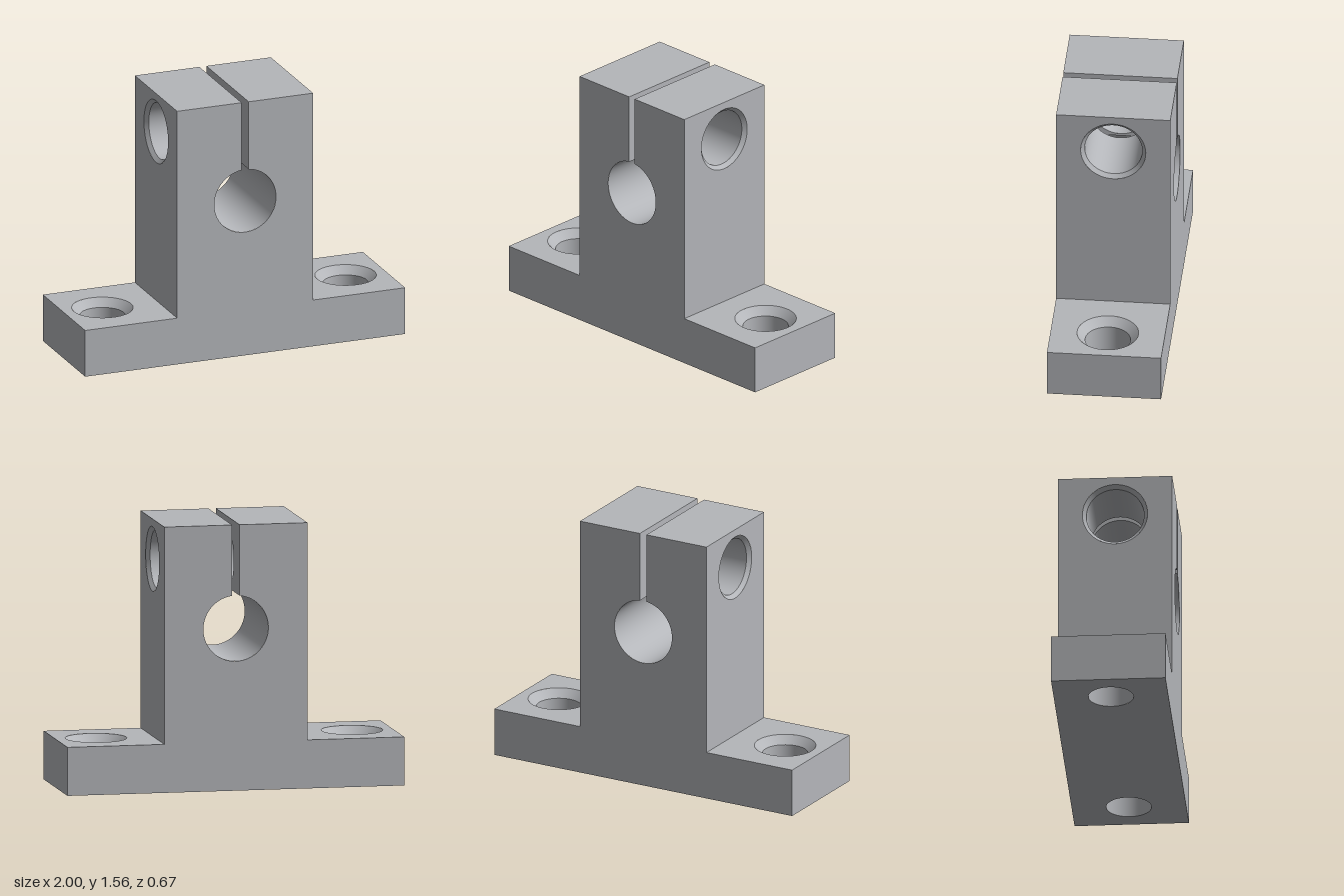
import * as THREE from 'three';

// Main dimensions
const L = 1, D = 0.333;              // half length and half depth of the base
const H = 0.285, T = 1.561;          // top of the base, top of the clamp block
const W = 0.425, S = 0.022;          // half width of the block and of the slot
const BORE = { y: 0.953, r: 0.193 }; // shaft bore, along z
const BOLT = { x: 0.76, r: 0.132, rim: 0.179 };    // base holes, along y
const SCREW = { y: 1.326, r: 0.168, rim: 0.19 };   // clamp hole, along x
const SEG = 64;
const gap = Math.asin(S / BORE.r);
const slotFloor = BORE.y + BORE.r * Math.cos(gap);

export function createModel() {
  const model = new THREE.Group();
  model.name = 'shaftSupport';
  const metal = new THREE.MeshStandardMaterial({ color: 0xb4b6ba });
  metal.name = 'grey metal';

  const add = (name, geometry) => {
    const mesh = new THREE.Mesh(geometry, metal);
    mesh.name = name;
    model.add(mesh);
  };

  // Flat rectangle facing +z, with round holes given as [x, y, r]
  const plate = (x0, y0, x1, y1, holes = []) => {
    const shape = new THREE.Shape();
    shape.moveTo(x0, y0).lineTo(x1, y0).lineTo(x1, y1).lineTo(x0, y1).closePath();
    for (const [x, y, r] of holes) {
      shape.holes.push(new THREE.Path().absarc(x, y, r, 0, Math.PI * 2, true));
    }
    return new THREE.ShapeGeometry(shape, SEG);
  };
  const faceUp = (g, y) => g.rotateX(-Math.PI / 2).translate(0, y, 0);
  const faceSide = (g, x, dir) => g.rotateY(dir * Math.PI / 2).translate(x, 0, 0);

  // Inward-facing wall of a hole around y, from radius r0 at y0 down to r1 at y1
  const holeWall = (r0, y0, r1, y1, start = 0, sweep = Math.PI * 2) =>
    new THREE.LatheGeometry(
      [new THREE.Vector2(r0, y0), new THREE.Vector2(r1, y1)], SEG, start, sweep);

  // Front and back: inverted T with a keyhole cut
  const profile = new THREE.Shape();
  profile.moveTo(-L, 0).lineTo(L, 0).lineTo(L, H).lineTo(W, H).lineTo(W, T).lineTo(S, T);
  profile.lineTo(S, slotFloor);
  profile.absarc(0, BORE.y, BORE.r, Math.PI / 2 - gap, Math.PI / 2 + gap, true);
  profile.lineTo(-S, T).lineTo(-W, T).lineTo(-W, H).lineTo(-L, H).closePath();
  add('frontFace', new THREE.ShapeGeometry(profile, SEG).translate(0, 0, D));
  add('backFace', new THREE.ShapeGeometry(profile, SEG).rotateY(Math.PI).translate(0, 0, -D));

  // Shaft bore, open at the slot
  add('shaftBore', holeWall(BORE.r, D, BORE.r, -D, gap - Math.PI, 2 * (Math.PI - gap))
    .rotateX(Math.PI / 2).translate(0, BORE.y, 0));

  // Underside with both bolt holes
  add('underside', plate(-L, -D, L, D, [[-BOLT.x, 0, BOLT.r], [BOLT.x, 0, BOLT.r]])
    .rotateX(Math.PI / 2));

  for (const s of [1, -1]) {
    const side = s > 0 ? 'left' : 'right';
    const span = (a, b) => (s > 0 ? [a, b] : [-b, -a]);

    // Base flange with countersunk bolt hole
    const [f0, f1] = span(W, L);
    add(side + 'FlangeTop', faceUp(plate(f0, -D, f1, D, [[s * BOLT.x, 0, BOLT.rim]]), H));
    add(side + 'FlangeEnd', faceSide(plate(-D, 0, D, H), s * L, s));
    const sink = H - (BOLT.rim - BOLT.r);
    add(side + 'Countersink', holeWall(BOLT.rim, H, BOLT.r, sink).translate(s * BOLT.x, 0, 0));
    add(side + 'BoltHole', holeWall(BOLT.r, sink, BOLT.r, 0).translate(s * BOLT.x, 0, 0));

    // Clamp jaw: top, outer wall and slot wall
    const [j0, j1] = span(S, W);
    add(side + 'JawTop', faceUp(plate(j0, -D, j1, D), T));
    add(side + 'JawOuterWall',
      faceSide(plate(-D, H, D, T, [[0, SCREW.y, SCREW.rim]]), s * W, s));
    add(side + 'SlotWall',
      faceSide(plate(-D, slotFloor, D, T, [[0, SCREW.y, SCREW.r]]), s * S, -s));

    // Chamfered clamp screw hole
    const inner = W - (SCREW.rim - SCREW.r);
    const along = (g) => g.rotateZ(-s * Math.PI / 2).translate(0, SCREW.y, 0);
    add(side + 'ScrewChamfer', along(holeWall(SCREW.rim, W, SCREW.r, inner)));
    add(side + 'ScrewHole', along(holeWall(SCREW.r, inner, SCREW.r, S)));
  }
  return model;
}
